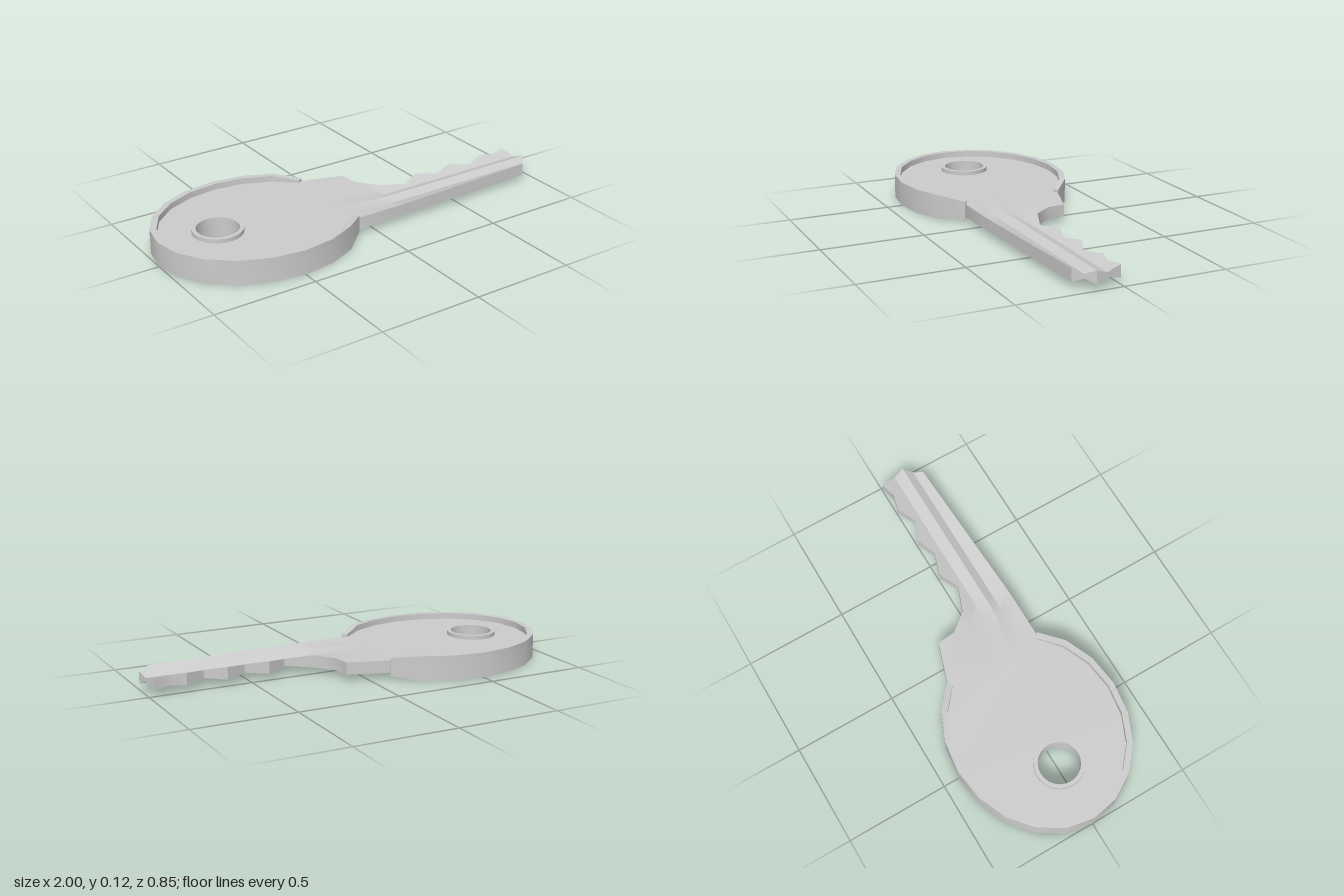
import * as THREE from 'three';
import { toCreasedNormals } from 'three/addons/utils/BufferGeometryUtils.js';

const material = new THREE.MeshStandardMaterial({ color: 0xcccccc });
const CX = -0.5; // centre of the oval head

function part(name, geometry, crease) {
  const mesh = new THREE.Mesh(toCreasedNormals(geometry, crease), material);
  mesh.name = name;
  return mesh;
}

// Skin a row of equal-length rings; each ring runs along its top, then back along its bottom.
function loft(rings, capStart) {
  const out = [];
  const n = rings[0].length;
  const quad = (a, b, c, d) => out.push(...a, ...b, ...c, ...a, ...c, ...d);
  for (let s = 0; s < rings.length - 1; s++) {
    for (let i = 0; i < n; i++) {
      const j = (i + 1) % n;
      quad(rings[s][i], rings[s][j], rings[s + 1][j], rings[s + 1][i]);
    }
  }
  const first = rings[0], last = rings[rings.length - 1];
  for (let i = 0; i < n / 2 - 1; i++) {
    const k = n - 1 - i;
    quad(last[k], last[i], last[i + 1], last[k - 1]);
    if (capStart) quad(first[k], first[k - 1], first[i + 1], first[i]);
  }
  const g = new THREE.BufferGeometry();
  g.setAttribute('position', new THREE.Float32BufferAttribute(out, 3));
  return g;
}

// Oval head, open towards the blade: 16 of 20 sides
const oval = (rx, rz) => Array.from({ length: 17 }, (_, i) => {
  const a = (i + 2) * Math.PI / 10;
  return [CX + rx * Math.cos(a), rz * Math.sin(a)];
});

function headPlate() {
  const shape = new THREE.Shape(oval(0.485, 0.41).map(p => new THREE.Vector2(...p)));
  const hole = new THREE.Path();
  hole.absarc(-0.7, 0, 0.11, 0, Math.PI * 2, true);
  shape.holes.push(hole);
  const g = new THREE.ExtrudeGeometry(shape, { depth: 0.06, bevelEnabled: false, curveSegments: 12 });
  return g.rotateX(-Math.PI / 2).translate(0, 0.03, 0);
}

// Raised border on both faces, thinning where it meets the blade
function headRim() {
  const outer = oval(0.5, 0.423), inner = oval(0.468, 0.395);
  return loft(outer.map(([x, z], i) => {
    const h = i === 0 || i === 16 ? 0.043 : 0.06;
    const [u, w] = inner[i];
    return [[x, 0.06 + h, z], [u, 0.06 + h, w], [u, 0.06 - h, w], [x, 0.06 - h, z]];
  }), true);
}

function holeCollar() {
  const profile = [[0.1, 0.01], [0.12, 0.01], [0.12, 0.11], [0.1, 0.11], [0.1, 0.01]];
  return new THREE.LatheGeometry(profile.map(p => new THREE.Vector2(...p)), 24).translate(-0.7, 0, 0);
}

// Shoulder, teeth and twin-grooved blade
function blade() {
  // x and z along the cut edge
  const cut = [[-0.12, -0.235], [-0.096, -0.245], [0.1, -0.18], [0.11, -0.09], [0.18, 0],
    [0.31, 0.05], [0.41, 0], [0.52, 0.04], [0.62, 0], [0.72, 0.045], [0.82, 0], [0.89, 0.02], [0.97, 0]];
  const rings = cut.map(([x, z], s) => {
    const tip = s === cut.length - 1;
    const depth = 0.02 * THREE.MathUtils.clamp((x + 0.1) / 0.28, 0, 1);
    const back = s === 0 ? 0.235 : x < 0.15 ? 0.245 : 0.245 - 0.035 * (x - 0.15) / 0.78;
    const zs = [z, Math.max(z, 0), 0.075, 0.13, 0.17, tip ? 0.21 : back];
    const xs = tip ? [0.97, 0.97, 0.987, 1, 0.965, 0.93] : zs.map(() => x);
    const cutDip = depth * Math.max(z, 0) / 0.075;
    const dip = [cutDip, cutDip, depth, 0, depth, 0];
    const top = zs.map((w, i) => [xs[i], 0.09 - dip[i], w]);
    const bottom = zs.map((w, i) => [xs[i], 0.03 + dip[i], w]).reverse();
    return [...top, ...bottom];
  });
  // keep the back edge straight up to the slanted tip
  return loft(rings, false);
}

export function createModel() {
  const group = new THREE.Group();
  group.name = 'key';
  group.add(
    part('headPlate', headPlate(), 0.5),
    part('headRim', headRim(), 0.5),
    part('holeCollar', holeCollar(), 0.5),
    part('blade', blade(), 0.6),
  );
  return group;
}
